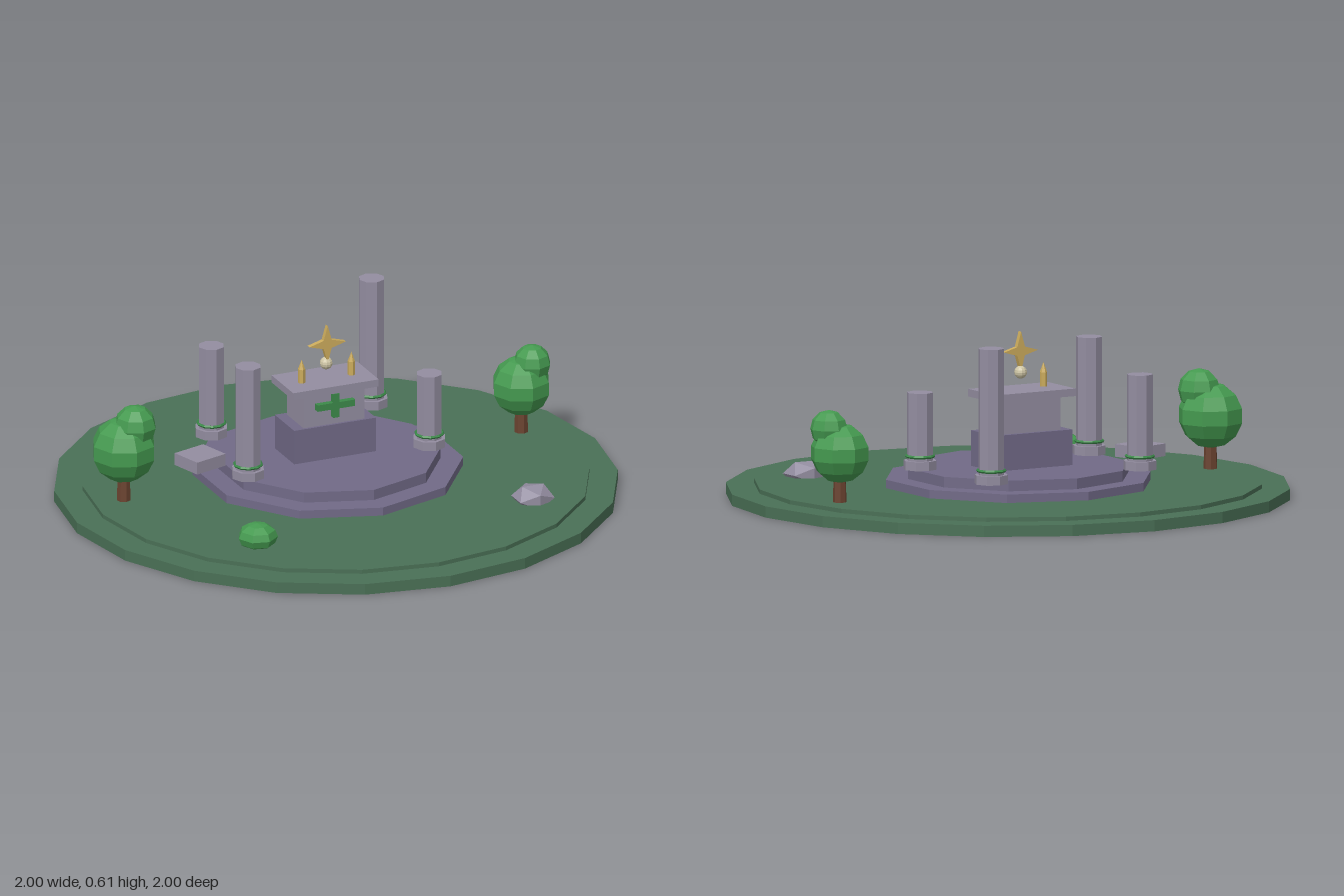
import * as THREE from 'three';

const mat = (name, color) => {
  const m = new THREE.MeshStandardMaterial({ color, flatShading: true });
  m.name = name;
  return m;
};

export function createModel() {
  const root = new THREE.Group();
  root.name = 'gardenShrine';

  const grass = mat('grass green', 0x4a7056);
  const paving = mat('dusky purple stone', 0x716a87);
  const stone = mat('pale stone', 0x938da0);
  const leaf = mat('leaf green', 0x459a50);
  const vine = mat('vine green', 0x3c8a4a);
  const bark = mat('bark brown', 0x6b4330);
  const gold = mat('gold', 0xcbab5c);
  const pearl = mat('pearl', 0xcfc6a6);

  const add = (name, geo, material, x, y, z, parent = root) => {
    const m = new THREE.Mesh(geo, material);
    m.name = name;
    m.position.set(x, y, z);
    parent.add(m);
    return m;
  };
  // Prism and box placed by the height of their bottom and top
  const prism = (name, r, sides, y0, y1, material, x, z, parent) =>
    add(name, new THREE.CylinderGeometry(r, r, y1 - y0, sides), material, x, (y0 + y1) / 2, z, parent);
  const box = (name, w, d, y0, y1, material, x, z, parent) =>
    add(name, new THREE.BoxGeometry(w, y1 - y0, d), material, x, (y0 + y1) / 2, z, parent);

  // Lawn and stepped platform
  prism('lawnBase', 1, 20, 0, 0.04, grass, 0, 0);
  prism('lawnTop', 0.9, 20, 0.04, 0.055, grass, 0, 0);
  prism('platformLower', 0.48, 10, 0.055, 0.085, paving, 0, -0.07);
  prism('platformUpper', 0.4, 10, 0.085, 0.123, paving, 0, -0.07);

  // Altar
  const altar = new THREE.Group();
  altar.name = 'altar';
  root.add(altar);
  box('altarPlinth', 0.315, 0.17, 0.123, 0.25, paving, 0, -0.093, altar);
  box('altarBody', 0.235, 0.145, 0.25, 0.37, stone, 0, -0.09, altar);
  box('altarSlab', 0.33, 0.19, 0.37, 0.397, stone, 0, -0.095, altar);
  box('crossBar', 0.145, 0.024, 0.313, 0.337, vine, 0, -0.008, altar);
  box('crossPost', 0.024, 0.023, 0.28, 0.37, vine, 0, -0.008, altar);

  // Candles
  for (const s of [-1, 1]) {
    prism('candle', 0.013, 6, 0.397, 0.448, gold, s * 0.096, -0.083, altar);
    add('candleFlame', new THREE.ConeGeometry(0.013, 0.036, 6), gold, s * 0.096, 0.466, -0.083, altar);
  }

  // Orb and four-pointed star
  add('orb', new THREE.SphereGeometry(0.023, 10, 8), pearl, 0, 0.455, -0.086, altar);
  const star = new THREE.Shape();
  for (let i = 0; i < 8; i++) {
    const a = (i * Math.PI) / 4;
    const r = i % 2 ? 0.022 : 0.07;
    star[i ? 'lineTo' : 'moveTo'](r * Math.cos(a), r * Math.sin(a));
  }
  star.closePath();
  add('star', new THREE.ExtrudeGeometry(star, { depth: 0.018, bevelEnabled: false }), gold, 0, 0.53, -0.09, altar);

  // Broken pillars: x, z, top height
  const pillars = [
    [-0.353, 0.03, 0.542],
    [0.353, 0.016, 0.397],
    [-0.31, -0.387, 0.462],
    [0.323, -0.42, 0.605],
  ];
  for (const [x, z, top] of pillars) {
    const g = new THREE.Group();
    g.name = 'pillar';
    root.add(g);
    prism('pillarBase', 0.06, 8, 0.123, 0.155, stone, x, z, g);
    prism('pillarShaft', 0.047, 8, 0.155, top, stone, x, z, g);
    const ring = add('pillarVine', new THREE.TorusGeometry(0.048, 0.006, 5, 10), vine, x, 0.17, z, g);
    ring.rotation.x = Math.PI / 2;
  }

  // Fallen stone block
  box('fallenBlock', 0.132, 0.122, 0.125, 0.17, stone, -0.467, -0.13).rotation.y = 0.29;

  // Trees: trunk position, crown height and radius, small crown radius and offsets
  const trees = [
    [-0.775, -0.1, 0.246, 0.118, 0.077, [0.035, 0.09, 0.02]],
    [0.773, -0.131, 0.23, 0.107, 0.068, [0.034, 0.086, 0.018]],
  ];
  for (const [x, z, y, r, r2, o] of trees) {
    const g = new THREE.Group();
    g.name = 'tree';
    root.add(g);
    add('trunk', new THREE.CylinderGeometry(0.021, 0.025, 0.125, 7), bark, x, 0.117, z, g);
    add('crown', new THREE.SphereGeometry(r, 8, 7), leaf, x, y, z, g);
    add('crownTop', new THREE.SphereGeometry(r2, 8, 6), leaf, x + o[0], y + o[1], z + o[2], g);
  }

  // Bush and rock
  add('bush', new THREE.SphereGeometry(0.072, 7, 6), leaf, -0.515, 0.085, 0.48).scale.y = 0.68;
  add('rock', new THREE.IcosahedronGeometry(0.078, 0), stone, 0.548, 0.065, 0.48).scale.y = 0.64;

  return root;
}
